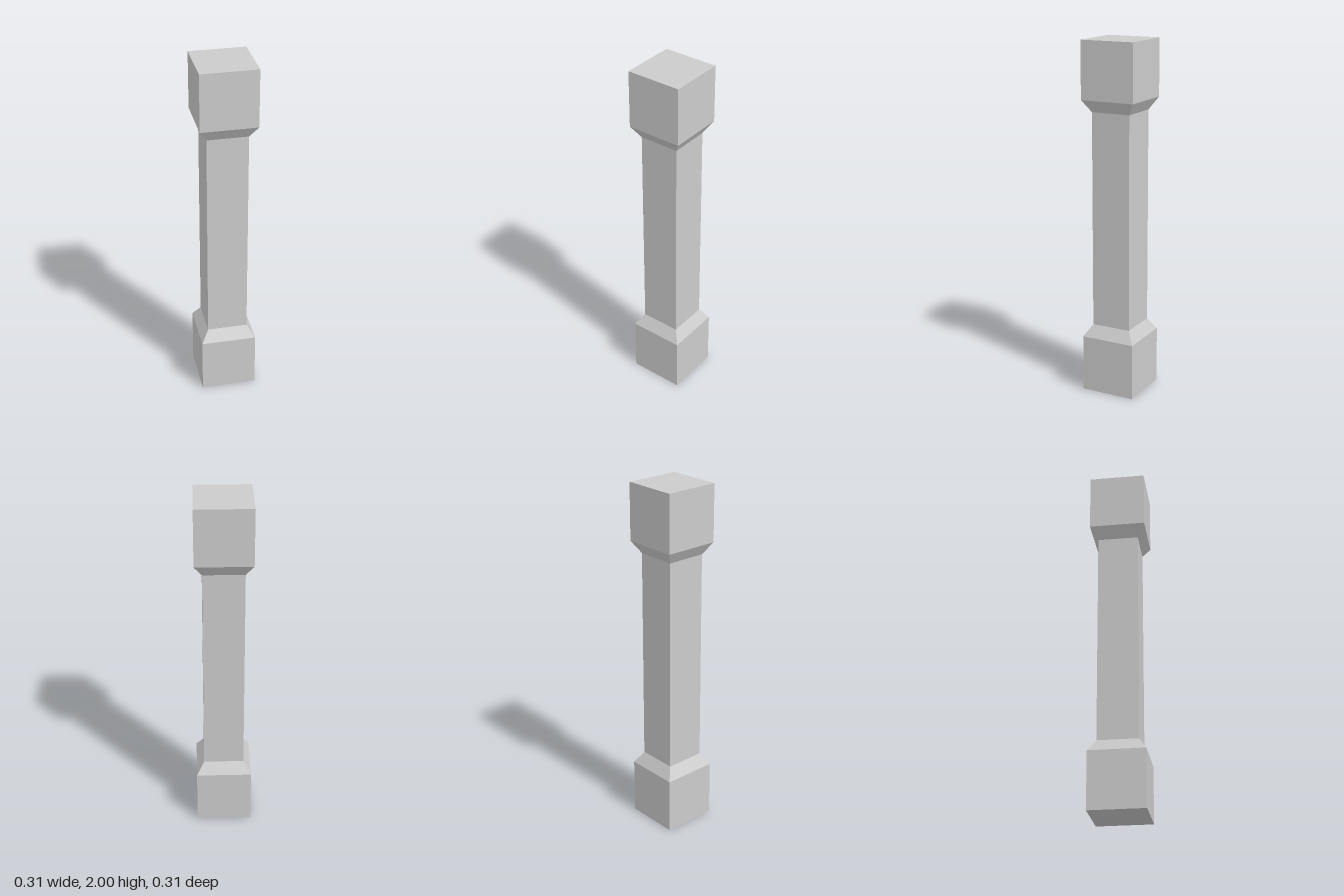
import * as THREE from 'three';

const BLOCK = 0.157; // half width of the end blocks
const SHAFT = 0.114; // half width of the shaft
const H = 2;         // total height
const BLOCK_H = 0.322, TAPER_H = 0.39;

// Square-section solid from [half width, height] pairs, listed bottom to top
function squareTurned(name, profile, material) {
  const points = profile.map(([w, y]) => new THREE.Vector2(w * Math.SQRT2, y));
  const geometry = new THREE.LatheGeometry(points, 4).rotateY(Math.PI / 4).toNonIndexed();
  geometry.computeVertexNormals();
  const mesh = new THREE.Mesh(geometry, material);
  mesh.name = name;
  return mesh;
}

export function createModel() {
  const group = new THREE.Group();
  group.name = 'column';
  const material = new THREE.MeshStandardMaterial({ color: 0xcccccc, flatShading: true });

  // Base block with its sloped shoulder; the capital mirrors it
  const base = [[0, 0], [BLOCK, 0], [BLOCK, BLOCK_H], [SHAFT, TAPER_H]];
  const capital = base.map(([w, y]) => [w, H - y]).reverse();

  group.add(
    squareTurned('base', base, material),
    squareTurned('shaft', [[SHAFT, TAPER_H], [SHAFT, H - TAPER_H]], material),
    squareTurned('capital', capital, material),
  );
  return group;
}
